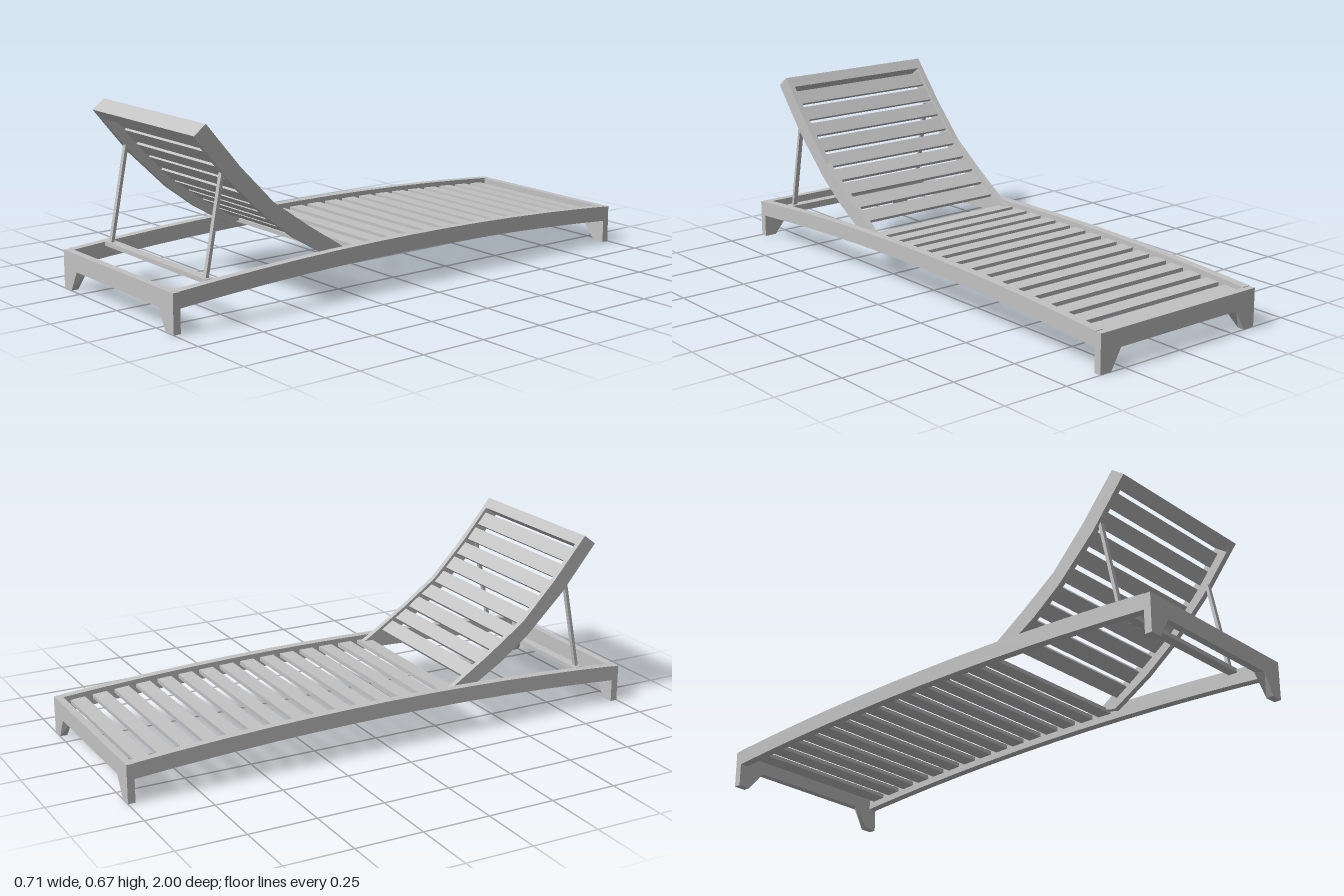
import * as THREE from 'three';

const wood = new THREE.MeshStandardMaterial({ color: 0xc2c2c2 });
wood.name = 'grey wood';

// Arched top of the base rails at depth z
const railTop = z => 0.18 - 0.04 * z * z;

// Backrest side outline, from the hinge to the head, as [z, y]
const upper = [[0.26, 0.16], [0.294, 0.18], [0.433, 0.27], [0.577, 0.372], [0.71, 0.51], [0.84, 0.665]];
const lower = [[0.335, 0.143], [0.39, 0.175], [0.487, 0.233], [0.6, 0.318], [0.75, 0.463], [0.887, 0.63]];

function add(parent, geometry, name) {
  const mesh = new THREE.Mesh(geometry, wood);
  mesh.name = name;
  parent.add(mesh);
  return mesh;
}

// Extrudes a [z, y] outline across x, from x0 to x1
function sidePlate(points, x0, x1) {
  const shape = new THREE.Shape(points.map(([z, y]) => new THREE.Vector2(-z, y)));
  const g = new THREE.ExtrudeGeometry(shape, { depth: x1 - x0, bevelEnabled: false });
  return g.rotateY(Math.PI / 2).translate(x0, 0, 0);
}

// End board with two feet; the cut-out flares towards its inner face
function endBoard() {
  const half = [[0.357, 0.14], [0.357, 0], [0.31, 0], [0.268, 0.075]];
  const outline = [...half, ...half.map(([x, y]) => [-x, y]).reverse()];
  const shape = new THREE.Shape(outline.map(p => new THREE.Vector2(...p)));
  const g = new THREE.ExtrudeGeometry(shape, { depth: 0.027, bevelEnabled: false });
  const p = g.attributes.position;
  for (let i = 0; i < p.count; i++) {
    const x = p.getX(i);
    if (p.getZ(i) < 0.01 && Math.abs(x) < 0.3) p.setX(i, x - Math.sign(x) * 0.022);
  }
  g.computeVertexNormals();
  return g.translate(0, 0, 0.973);
}

function createBase() {
  const base = new THREE.Group();
  base.name = 'base';
  const top = [], bottom = [];
  for (let i = 0; i <= 12; i++) {
    const z = -0.975 + i * 1.95 / 12;
    top.push([z, railTop(z)]);
    bottom.push([z, railTop(z) - 0.057]);
  }
  const outline = [...top, ...bottom.reverse()];
  add(base, sidePlate(outline, 0.325, 0.357), 'leftRail');
  add(base, sidePlate(outline, -0.357, -0.325), 'rightRail');
  add(base, endBoard(), 'frontBoard');
  add(base, endBoard().rotateY(Math.PI), 'backBoard');

  // Seat slats, following the arch
  for (let i = 0; i < 15; i++) {
    const z = -0.92 + i * 0.0848;
    const slat = add(base, new THREE.BoxGeometry(0.652, 0.015, 0.056), 'seatSlat');
    slat.position.set(0, railTop(z) - 0.025, z);
    slat.rotation.x = Math.atan(0.08 * z);
  }
  // Crossbar holding the feet of the props
  add(base, new THREE.BoxGeometry(0.652, 0.016, 0.035), 'propCrossbar').position.set(0, 0.145, 0.835);
  return base;
}

function createBackrest() {
  const back = new THREE.Group();
  back.name = 'backrest';
  const outline = [...upper, ...[...lower].reverse()];
  add(back, sidePlate(outline, 0.3, 0.322), 'leftBackRail');
  add(back, sidePlate(outline, -0.322, -0.3), 'rightBackRail');
  add(back, sidePlate([[0.812, 0.632], [0.84, 0.665], [0.887, 0.63], [0.86, 0.598]], -0.301, 0.301), 'headBar');

  // Slats at even steps along the upper edge, set slightly below it
  const path = new THREE.CurvePath();
  for (let i = 1; i < upper.length; i++) {
    const [a, b] = [upper[i - 1], upper[i]].map(([z, y]) => new THREE.Vector3(0, y, z));
    path.add(new THREE.LineCurve3(a, b));
  }
  const length = path.getLength();
  for (let i = 0; i < 9; i++) {
    const u = (0.113 + i * 0.072) / length;
    const p = path.getPoint(u);
    const before = path.getPoint(u - 0.04), after = path.getPoint(u + 0.04);
    const angle = Math.atan2(after.y - before.y, after.z - before.z);
    const slat = add(back, new THREE.BoxGeometry(0.602, 0.014, 0.056), 'backSlat');
    slat.position.set(0, p.y - 0.018 * Math.cos(angle), p.z + 0.018 * Math.sin(angle));
    slat.rotation.x = -angle;
  }
  return back;
}

// Slim struts from the crossbar up to the backrest
function createProps() {
  const props = new THREE.Group();
  props.name = 'props';
  const dy = 0.352, dz = -0.07;
  for (const side of [1, -1]) {
    const prop = add(props, new THREE.BoxGeometry(0.017, Math.hypot(dy, dz), 0.012), side > 0 ? 'leftProp' : 'rightProp');
    prop.position.set(side * 0.302, 0.143 + dy / 2, 0.84 + dz / 2);
    prop.rotation.x = Math.atan2(dz, dy);
  }
  return props;
}

export function createModel() {
  const model = new THREE.Group();
  model.name = 'sunLounger';
  model.add(createBase(), createBackrest(), createProps());
  return model;
}
